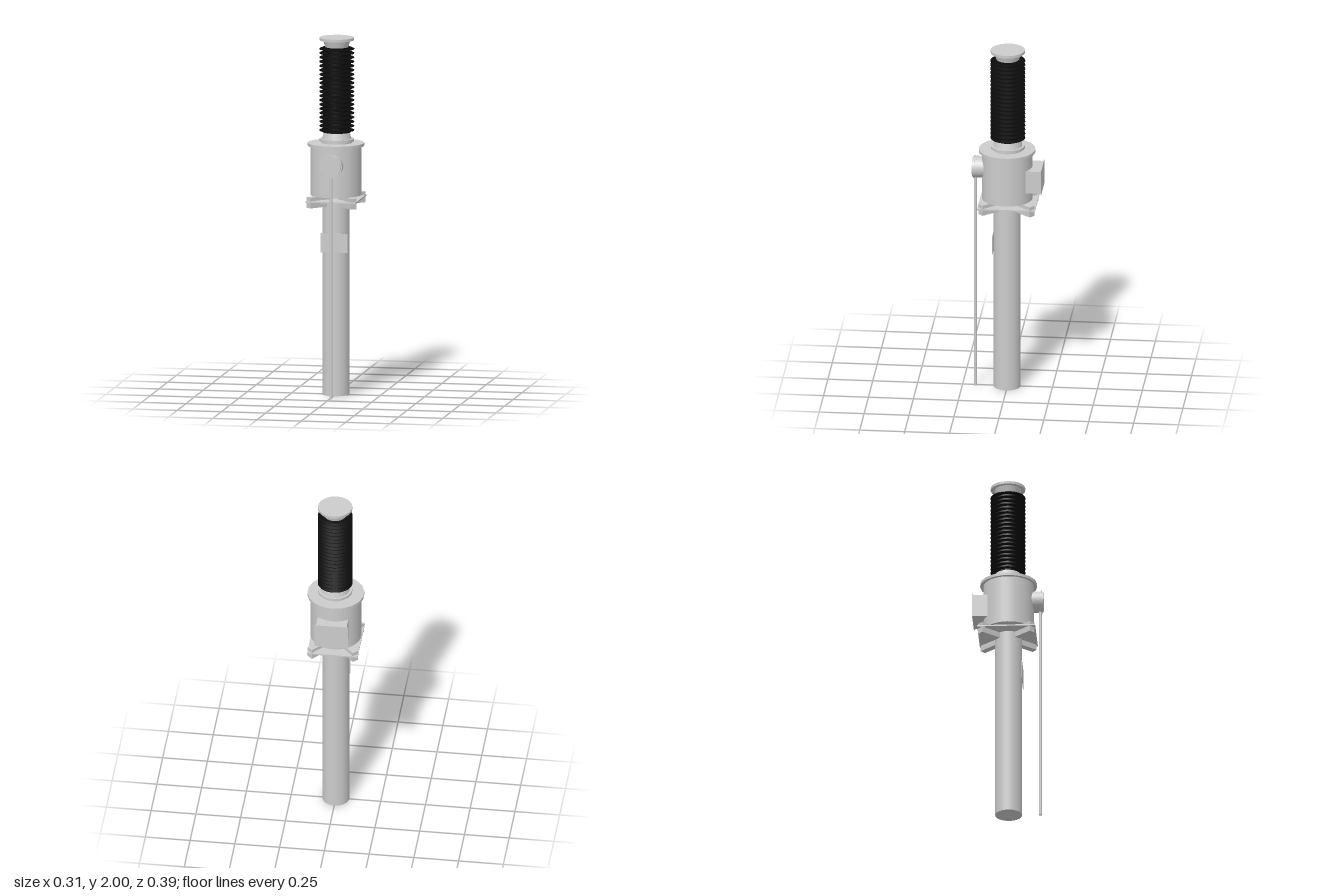
import * as THREE from 'three';
import { toCreasedNormals } from 'three/addons/utils/BufferGeometryUtils.js';

const grey = new THREE.MeshStandardMaterial({ color: 0xcccccc });
const black = new THREE.MeshStandardMaterial({ color: 0x0a0a0a });

export function createModel() {
  const model = new THREE.Group();

  function add(parent, name, geometry, x = 0, y = 0, z = 0, material = grey) {
    const mesh = new THREE.Mesh(geometry, material);
    mesh.name = name;
    mesh.position.set(x, y, z);
    parent.add(mesh);
    return mesh;
  }
  // Upright round part between two heights
  function round(name, rBottom, rTop, y0, y1, x = 0, z = 0, sides = 18) {
    return add(model, name, new THREE.CylinderGeometry(rTop, rBottom, y1 - y0, sides), x, (y0 + y1) / 2, z);
  }
  // Box given by its limits
  function block(name, x0, x1, y0, y1, z0, z1, parent = model) {
    return add(parent, name, new THREE.BoxGeometry(x1 - x0, y1 - y0, z1 - z0),
      (x0 + x1) / 2, (y0 + y1) / 2, (z0 + z1) / 2);
  }

  // Support column with its sign plate
  round('column', 0.075, 0.075, 0, 1.097, 0, 0.002, 24);
  block('signPlate', -0.072, 0.08, 0.805, 0.912, 0.077, 0.08);

  // Mounting plate with diagonal bars above and below
  block('mountingPlate', -0.142, 0.14, 1.092, 1.1, -0.165, 0.156);
  for (let i = 0; i < 4; i++) {
    const arm = new THREE.Group();
    arm.name = 'diagonalArm';
    arm.position.set(0, 0, -0.005);
    const sx = i % 2 ? 1 : -1, sz = i < 2 ? 1 : -1;
    arm.rotation.y = Math.atan2(sx * 0.115, sz * 0.13);
    block('lowerBar', -0.018, 0.018, 1.06, 1.092, 0.06, 0.192, arm);
    block('upperBar', -0.018, 0.018, 1.1, 1.12, 0.05, 0.192, arm);
    model.add(arm);
  }

  // Tank and its lid
  round('tank', 0.141, 0.141, 1.12, 1.395, 0, 0.002, 36);
  round('tankLid', 0.158, 0.158, 1.395, 1.411, 0, 0.002);

  // Insulator: lower fitting, ribbed body, upper fitting
  const ix = 0.004, iz = -0.002;
  round('insulatorNeck', 0.085, 0.085, 1.411, 1.42, ix, iz);
  round('insulatorFlange', 0.095, 0.095, 1.42, 1.434, ix, iz);
  round('lowerFitting', 0.081, 0.07, 1.434, 1.475, ix, iz);

  const sheds = 20, y0 = 1.47, pitch = 0.024;
  const profile = [new THREE.Vector2(0, y0), new THREE.Vector2(0.077, y0)];
  for (let i = 0; i < sheds; i++) {
    const y = y0 + i * pitch;
    profile.push(
      new THREE.Vector2(0.077, y + 0.004),
      new THREE.Vector2(0.097, y + 0.009),
      new THREE.Vector2(0.097, y + 0.012),
      new THREE.Vector2(0.077, y + 0.02));
  }
  profile.push(new THREE.Vector2(0, y0 + sheds * pitch));
  const ribs = toCreasedNormals(new THREE.LatheGeometry(profile, 24), 0.6);
  add(model, 'ribbedInsulator', ribs, ix, 0, iz, black);

  round('upperFitting', 0.064, 0.076, 1.945, 1.985, ix, iz);
  round('topCap', 0.096, 0.096, 1.985, 2, ix, iz);

  // Front port: stub, rim and cover lying along z
  for (const [name, r, z0, z1] of [
    ['portStub', 0.06, 0.1, 0.181],
    ['portRim', 0.064, 0.181, 0.187],
    ['portCover', 0.056, 0.187, 0.194],
  ]) {
    const part = add(model, name, new THREE.CylinderGeometry(r, r, z1 - z0, 28), 0.006, 1.3, (z0 + z1) / 2);
    part.rotation.x = Math.PI / 2;
  }

  // Cable conduit running to the ground
  round('conduit', 0.009, 0.009, 0, 1.255, 0.007, 0.178, 12);

  // Terminal box at the back
  block('terminalBox', -0.084, 0.087, 1.182, 1.312, -0.192, -0.09);
  block('terminalBoxCover', -0.093, 0.095, 1.176, 1.318, -0.196, -0.192);

  return model;
}
